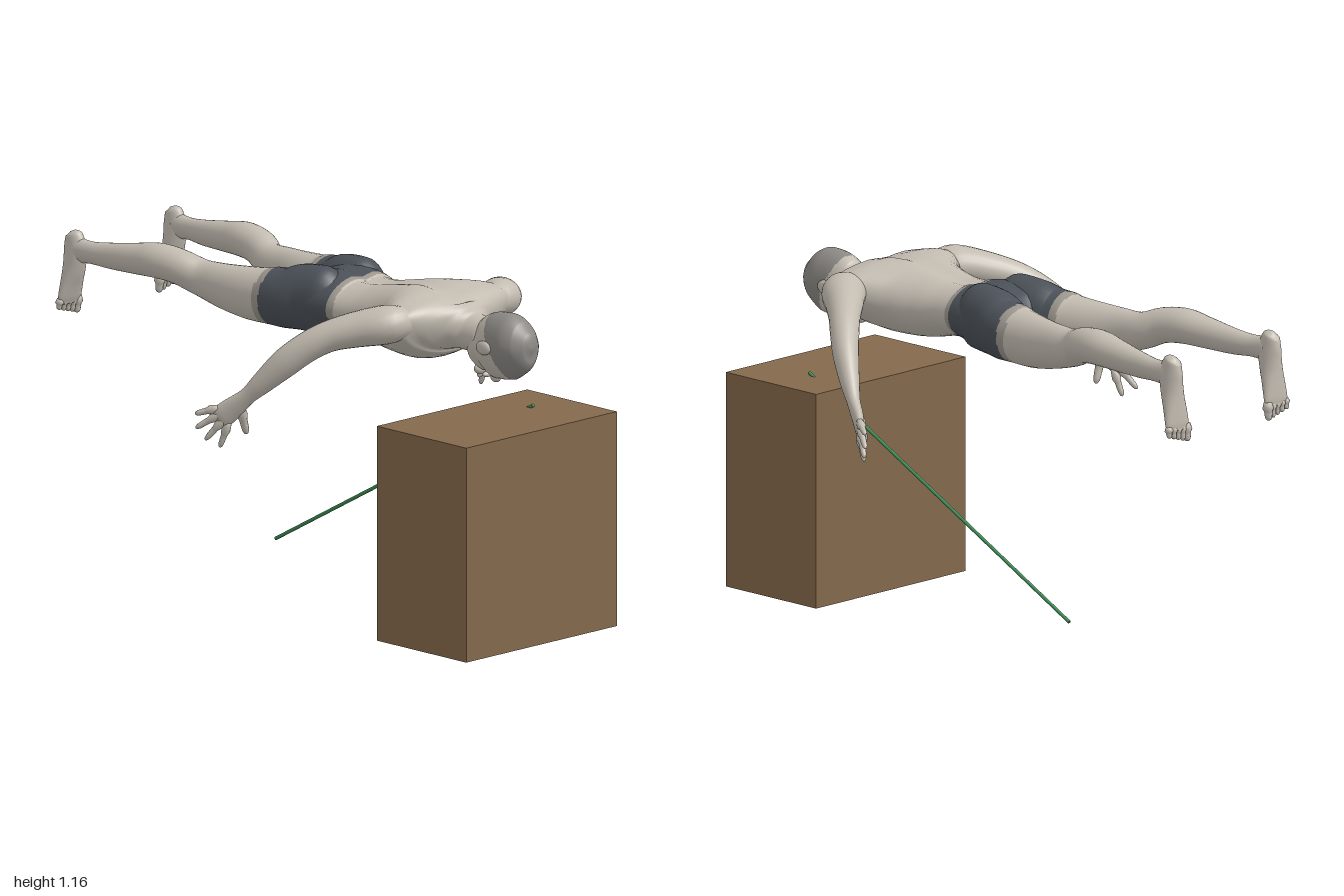
import * as THREE from 'three';

const mat = (name, color) => {
  const m = new THREE.MeshStandardMaterial({ color });
  m.name = name;
  return m;
};

// Smooth skin over rows of [x, y, z, halfWidth, halfHeight]; pick() chooses a material per face
function loft(rows, { up = [0, 1, 0], sides = 24, steps = 5, warp = null, pick = () => 0 } = {}) {
  const path = new THREE.CatmullRomCurve3(rows.map(r => new THREE.Vector3(r[0], r[1], r[2])));
  const size = new THREE.CatmullRomCurve3(rows.map(r => new THREE.Vector3(r[3], r[4], 0)));
  const U = new THREE.Vector3(...up), pts = [];
  const n = (rows.length - 1) * steps;
  for (let i = 0; i <= n; i++) {
    const c = path.getPoint(i / n), s = size.getPoint(i / n), t = path.getTangent(i / n);
    const side = U.clone().cross(t).normalize(), top = t.clone().cross(side);
    for (let j = 0; j < sides; j++) {
      const a = j / sides * Math.PI * 2;
      const p = c.clone().addScaledVector(side, Math.cos(a) * s.x).addScaledVector(top, Math.sin(a) * s.y);
      if (warp) warp(p, Math.cos(a), Math.sin(a));
      pts.push(p);
    }
  }
  const first = pts.push(path.getPoint(0)) - 1, last = pts.push(path.getPoint(1)) - 1;
  const buckets = [];
  const tri = (a, b, c, m) => (buckets[m] ??= []).push(a, b, c);
  for (let i = 0; i < n; i++) for (let j = 0; j < sides; j++) {
    const a = i * sides + j, b = i * sides + (j + 1) % sides, c = a + sides, d = b + sides;
    const m = pick(pts[a].clone().add(pts[b]).add(pts[c]).add(pts[d]).multiplyScalar(0.25));
    tri(a, b, c, m);
    tri(b, d, c, m);
  }
  for (let j = 0; j < sides; j++) {
    const k = (j + 1) % sides;
    tri(first, k, j, pick(pts[first]));
    tri(last, n * sides + j, n * sides + k, pick(pts[last]));
  }
  const g = new THREE.BufferGeometry().setFromPoints(pts), index = [];
  buckets.forEach((list, m) => {
    g.addGroup(index.length, list.length, m);
    for (const v of list) index.push(v);
  });
  g.setIndex(index);
  g.computeVertexNormals();
  return g;
}

// Rounded finger or toe between two points
function digit(a, b, r, up) {
  const at = (t, k) => [0, 1, 2].map(i => a[i] + (b[i] - a[i]) * t).concat(r * k, r * k);
  return loft([at(0, 1), at(0.5, 1), at(0.85, 0.85), at(0.97, 0.5), at(1, 0.1)], { up, sides: 10, steps: 3 });
}

export function createModel() {
  const root = new THREE.Group();
  root.name = 'divingFigure';
  const skin = mat('skin', 0xc2bbb0), hair = mat('hair', 0x8c8985), shorts = mat('shorts', 0x4b5158);
  const hem = mat('hem', 0x9c978e), wood = mat('wood', 0x84694c), green = mat('green', 0x3a8a52);
  const add = (name, geometry, material, parent = root) => {
    const m = new THREE.Mesh(geometry, material);
    m.name = name;
    parent.add(m);
    return m;
  };

  // Block and thin rod
  add('block', new THREE.BoxGeometry(0.71, 0.74, 0.425), wood).position.set(0.023, 0.37, 0.7875);
  const from = new THREE.Vector3(0.213, 0.75, 0.77), to = new THREE.Vector3(0.16, 0.09, -0.4);
  add('rod', new THREE.TubeGeometry(new THREE.LineCurve3(from, to), 1, 0.006, 10), green);
  for (const [p, other] of [[from, to], [to, from]]) {
    const cap = add('rodEnd', new THREE.CircleGeometry(0.006, 10), green);
    cap.position.copy(p);
    cap.lookAt(p.clone().multiplyScalar(2).sub(other));
  }

  // Torso: [z, halfWidth, top, bottom]
  const torso = [
    [-0.04, 0.1, 1.09, 0.96], [0, 0.17, 1.13, 0.935], [0.08, 0.18, 1.15, 0.928], [0.165, 0.166, 1.14, 0.94],
    [0.19, 0.158, 1.13, 0.943], [0.26, 0.148, 1.13, 0.935], [0.35, 0.16, 1.145, 0.915], [0.44, 0.192, 1.16, 0.905],
    [0.51, 0.24, 1.165, 0.91], [0.57, 0.28, 1.16, 0.93], [0.615, 0.265, 1.145, 0.95], [0.645, 0.19, 1.125, 0.96],
    [0.67, 0.1, 1.11, 0.963], [0.70, 0.066, 1.095, 0.963], [0.77, 0.062, 1.085, 0.96],
  ].map(([z, w, t, b]) => [0, (t + b) / 2, z, w, (t - b) / 2]);
  add('torso', loft(torso, {
    sides: 40,
    pick: p => p.z > 0.19 ? 0 : p.z > 0.165 ? 1 : 2,
    warp: (p, c, s) => {
      const chest = THREE.MathUtils.smoothstep(p.z, 0.35, 0.55) * (1 - THREE.MathUtils.smoothstep(p.z, 0.62, 0.69));
      p.y += 0.03 * chest * c * c;
      if (p.z < 0.66) p.y -= 0.016 * Math.max(0, s) * Math.exp(-((p.x / 0.035) ** 2)); // spine groove
    },
  }), [skin, hem, shorts]);

  // Head, face down, with a slanted hairline
  const head = new THREE.Group();
  head.name = 'head';
  root.add(head);
  add('skull', loft([
    [0, 0.945, 0.715, 0.025, 0.025], [0, 0.955, 0.73, 0.048, 0.06], [0, 0.982, 0.76, 0.064, 0.09],
    [0, 0.995, 0.8, 0.074, 0.108], [0, 1.006, 0.84, 0.079, 0.115], [0, 1.012, 0.89, 0.081, 0.113],
    [0, 1.016, 0.94, 0.067, 0.086], [0, 1.02, 0.97, 0.038, 0.048], [0, 1.02, 0.98, 0.006, 0.006],
  ], {
    sides: 36, steps: 12,
    pick: p => p.z > 0.8 + (1.1 - p.y) * 0.48 ? 1 : 0,
    warp: (p, c, s) => { p.x *= 1 - 0.18 * Math.max(0, -s); },
  }), [skin, hair]);
  const blob = (name, x, y, z, sx, sy, sz) => {
    const g = new THREE.SphereGeometry(1, 16, 12).scale(sx, sy, sz);
    add(name, g, skin, head).position.set(x, y, z);
  };
  blob('nose', 0, 0.892, 0.805, 0.014, 0.018, 0.022);
  blob('lips', 0, 0.896, 0.768, 0.024, 0.01, 0.012);
  blob('chin', 0, 0.91, 0.735, 0.028, 0.02, 0.018);

  for (const s of [1, -1]) {
    const side = s > 0 ? 'left' : 'right';
    const flip = rows => rows.map(([x, ...rest]) => [x * s, ...rest]);
    blob(side + 'Ear', s * 0.081, 1.01, 0.828, 0.012, 0.024, 0.033);

    // Leg, including its half of the shorts
    const leg = new THREE.Group();
    leg.name = side + 'Leg';
    root.add(leg);
    add('legSurface', loft(flip([
      [0.08, 1.045, 0.15, 0.06, 0.07], [0.087, 1.047, 0.09, 0.088, 0.113], [0.097, 1.04, 0, 0.096, 0.113],
      [0.114, 1.03, -0.06, 0.098, 0.102], [0.121, 1.028, -0.11, 0.096, 0.099], [0.125, 1.025, -0.14, 0.09, 0.095],
      [0.137, 1.023, -0.22, 0.078, 0.09], [0.153, 1.03, -0.33, 0.06, 0.077], [0.162, 1.044, -0.43, 0.055, 0.063],
      [0.188, 1.07, -0.5, 0.061, 0.06], [0.203, 1.08, -0.58, 0.063, 0.06], [0.213, 1.072, -0.68, 0.052, 0.053],
      [0.223, 1.062, -0.8, 0.037, 0.044], [0.232, 1.06, -0.88, 0.03, 0.038], [0.235, 1.06, -0.95, 0.03, 0.045],
    ]), { sides: 28, pick: p => p.z > -0.11 ? 2 : p.z > -0.14 ? 1 : 0 }), [skin, hem, shorts], leg);

    // Foot hanging down, sole facing back
    add('foot', loft(flip([
      [0.235, 1.122, -0.965, 0.008, 0.01], [0.235, 1.11, -0.96, 0.024, 0.033], [0.235, 1.06, -0.952, 0.031, 0.046],
      [0.235, 1.0, -0.958, 0.037, 0.04], [0.235, 0.94, -0.971, 0.047, 0.028], [0.235, 0.895, -0.98, 0.052, 0.019],
      [0.235, 0.872, -0.984, 0.045, 0.012],
    ]), { up: [0, 0, 1] }), skin, leg);
    for (let i = 0; i < 5; i++) {
      const x = s * (0.194 + i * 0.021);
      add('toe', digit([x, 0.89, -0.983], [x, 0.828 + i * 0.006, -0.988], i ? 0.0105 : 0.014, [0, 0, 1]), skin, leg);
    }

    // Arm, palm, fingers and thumb
    const arm = new THREE.Group();
    arm.name = side + 'Arm';
    root.add(arm);
    const up = [0.41 * s, 0.82, -0.4];
    add('armSurface', loft(flip([
      [0.19, 1.08, 0.595, 0.045, 0.045], [0.265, 1.075, 0.555, 0.075, 0.066], [0.34, 1.057, 0.48, 0.063, 0.06],
      [0.4, 1.035, 0.42, 0.053, 0.053], [0.45, 1, 0.37, 0.049, 0.051], [0.5, 0.945, 0.315, 0.044, 0.05],
      [0.55, 0.865, 0.245, 0.032, 0.037], [0.575, 0.82, 0.205, 0.023, 0.029], [0.6, 0.775, 0.16, 0.02, 0.038],
      [0.62, 0.745, 0.13, 0.016, 0.041], [0.628, 0.733, 0.117, 0.008, 0.032],
    ]), { up }), skin, arm);
    [[0.672, 0.75, 0.055], [0.67, 0.7, 0.055], [0.65, 0.66, 0.08], [0.615, 0.635, 0.115]].forEach(([x, y, z], i) => {
      const k = (1.5 - i) * 0.02;
      const base = [s * (0.617 + 0.41 * k), 0.75 + 0.82 * k, 0.135 - 0.4 * k];
      add('finger', digit(base, [x * s, y, z], 0.011, up), skin, arm);
    });
    add('thumb', digit([s * 0.583, 0.785, 0.178], [s * 0.548, 0.68, 0.175], 0.014, [0, 0, 1]), skin, arm);
  }
  return root;
}
